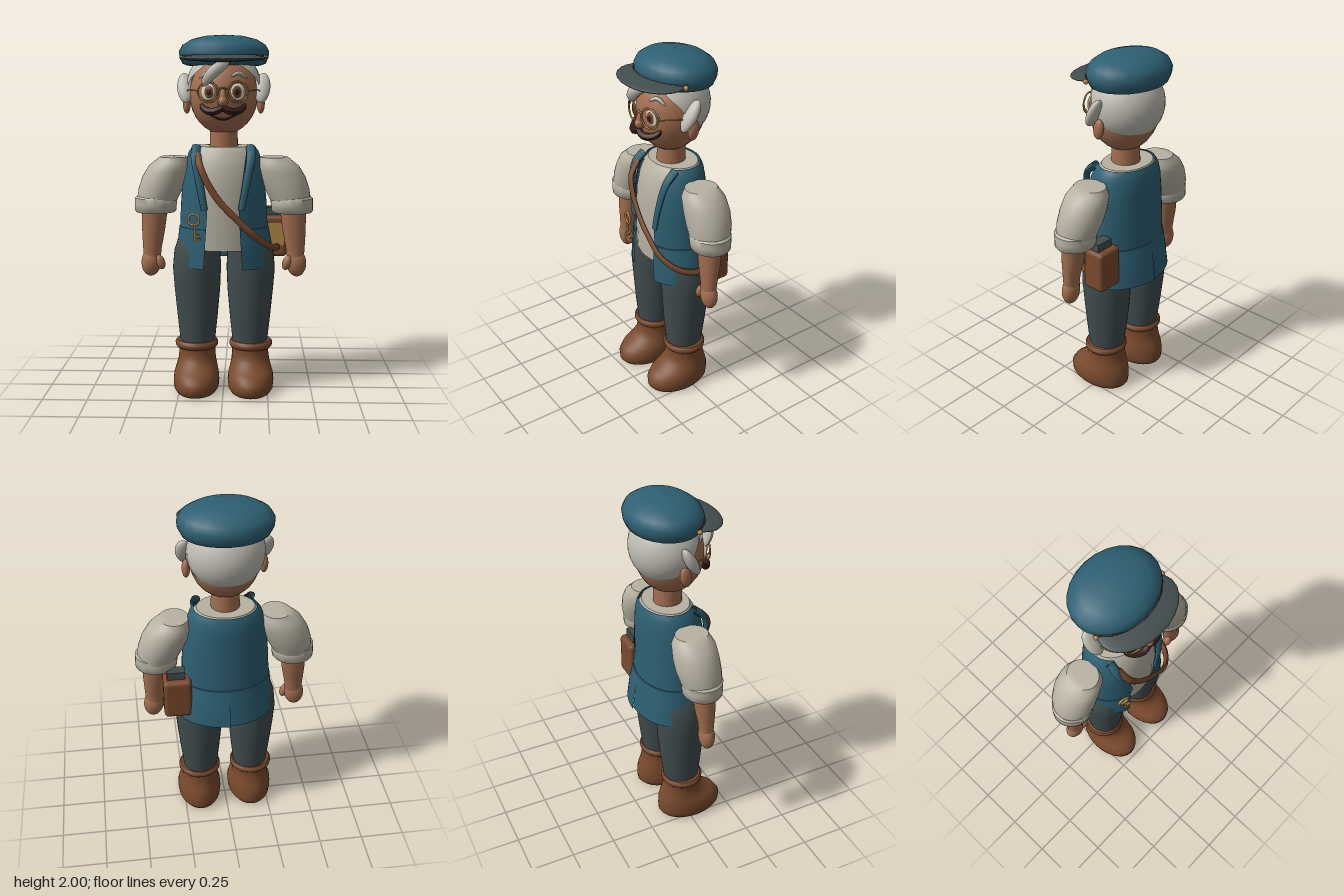
import * as THREE from 'three';
import { toCreasedNormals } from 'three/addons/utils/BufferGeometryUtils.js';
import { ParametricGeometry } from 'three/addons/geometries/ParametricGeometry.js';
import { RoundedBoxGeometry } from 'three/addons/geometries/RoundedBoxGeometry.js';

const mat = (name, color) => new THREE.MeshStandardMaterial({ name, color, side: THREE.DoubleSide });

// interpolate rows [y, rx, rz, cx, cz] at v = 0..1
function ringAt(rings, v) {
  const f = v * (rings.length - 1), i = Math.min(Math.floor(f), rings.length - 2), t = f - i;
  return rings[i].map((a, k) => a + (rings[i + 1][k] - a) * t);
}

// stack of ellipses; open(y) leaves a gap of that half width at the front
function loft(rings, { open = null, from = 0, to = 1, steps = 2, crease = 0.75, seg = 28 } = {}) {
  const geo = new ParametricGeometry((u, v, p) => {
    const [y, rx, rz, cx = 0, cz = 0] = ringAt(rings, v);
    const a0 = open ? Math.asin(open(y) / rx) : 0;
    const a = a0 + (from + (to - from) * u) * (Math.PI * 2 - 2 * a0);
    p.set(cx + rx * Math.sin(a), y, cz + rz * Math.cos(a));
  }, seg, (rings.length - 1) * steps);
  return toCreasedNormals(geo, crease);
}

// tube whose radius follows a rule along its length; flat squeezes it in depth
function taper(points, radius, flat = 1, n = 20) {
  const curve = new THREE.CatmullRomCurve3(points.map(p => new THREE.Vector3(...p)));
  const geo = new THREE.TubeGeometry(curve, n, 1, 8), pos = geo.attributes.position;
  const v = new THREE.Vector3();
  for (let i = 0; i < pos.count; i++) {
    const t = Math.floor(i / 9) / n, c = curve.getPointAt(t);
    v.fromBufferAttribute(pos, i).sub(c).multiplyScalar(radius(t));
    v.z *= flat;
    v.add(c);
    pos.setXYZ(i, v.x, v.y, v.z);
  }
  geo.computeVertexNormals();
  return geo;
}
const lens = r => t => Math.max(0.001, r * Math.sqrt(Math.sin(Math.PI * Math.min(t, 1))));

// depth of the face surface
const faceZ = (x, y) => -0.015 + 0.185 * Math.sqrt(Math.max(0, 1 - (x / 0.19) ** 2 - ((y - 1.675) / 0.22) ** 2));

export function createModel() {
  const root = new THREE.Group();
  root.name = 'workman';
  const teal = mat('teal cloth', 0x2d6073), skin = mat('skin', 0xa36e50), linen = mat('linen', 0xb8b2a3);
  const silver = mat('silver hair', 0xc0bdb3), slate = mat('slate cloth', 0x414d4e), leather = mat('leather', 0x7a4a2d);
  const dark = mat('dark brown', 0x371c1b), brass = mat('brass', 0xb08645), white = mat('eye white', 0xe2d8c8);

  const add = (name, geo, m, pos = [0, 0, 0], rot = [0, 0, 0]) => {
    const mesh = new THREE.Mesh(geo, m);
    mesh.name = name;
    mesh.position.set(...pos);
    mesh.rotation.set(...rot);
    root.add(mesh);
    return mesh;
  };
  const ball = (name, m, pos, size, rot) => {
    const mesh = add(name, new THREE.SphereGeometry(1, 24, 16), m, pos, rot);
    mesh.scale.set(...size);
    return mesh;
  };

  // head, neck and face
  ball('head', skin, [0, 1.675, -0.015], [0.19, 0.22, 0.185]);
  add('neck', new THREE.CylinderGeometry(0.076, 0.08, 0.14, 24), skin, [0, 1.42, -0.025]);
  ball('nose', skin, [0, 1.64, 0.17], [0.027, 0.03, 0.034]);
  add('noseBridge', taper([[0, 1.72, 0.155], [0, 1.68, 0.172], [0, 1.64, 0.18]], t => 0.01 + 0.012 * t), skin);
  add('smile', taper([[-0.07, 1.565, 0.137], [0, 1.543, 0.147], [0.07, 1.565, 0.137]], lens(0.006)), dark);

  // hair: a cap with a hairline rising towards the front
  const hairline = a => {
    const d = Math.abs(a) * 180 / Math.PI;
    const rows = [[0, 1.85], [35, 1.83], [62, 1.76], [80, 1.68], [108, 1.58], [125, 1.55], [181, 1.55]];
    const i = rows.findIndex(r => r[0] > d), [d0, y0] = rows[i - 1], [d1, y1] = rows[i];
    return y0 + (y1 - y0) * (d - d0) / (d1 - d0);
  };
  add('hair', new ParametricGeometry((u, v, p) => {
    const a = (u * 2 - 1) * Math.PI, end = Math.acos((hairline(a) - 1.72) / 0.2);
    const t = end + (0.01 - end) * v, s = Math.sin(t);
    p.set(0.207 * s * Math.sin(a), 1.72 + 0.2 * Math.cos(t), -0.035 + 0.195 * s * Math.cos(a));
  }, 48, 14), silver);
  add('forelock', taper([[0.03, 1.85, 0.12], [-0.02, 1.82, 0.168], [-0.065, 1.78, 0.172], [-0.11, 1.72, 0.14]], lens(0.034)), silver);

  // left and right face details
  for (const s of [1, -1]) {
    ball('ear', skin, [s * 0.205, 1.625, -0.02], [0.022, 0.056, 0.032], [-0.15, 0, 0]);
    ball('sideTuft', silver, [s * 0.212, 1.71, 0.005], [0.044, 0.092, 0.03], [-0.5, 0, s * -0.1]);
    const ez = faceZ(0.08, 1.69), tilt = [0, s * 0.35, 0];
    ball('eye', white, [s * 0.08, 1.69, ez - 0.004], [0.042, 0.046, 0.014], tilt);
    ball('iris', leather, [s * 0.077, 1.69, ez + 0.006], [0.027, 0.033, 0.008], tilt);
    ball('pupil', dark, [s * 0.076, 1.69, ez + 0.012], [0.014, 0.019, 0.005], tilt);
    add('glassesRim', new THREE.TorusGeometry(0.055, 0.005, 8, 28), brass, [s * 0.08, 1.69, ez + 0.015], [0, s * 0.25, 0]);
    add('glassesArm', taper([[s * 0.133, 1.695, 0.152], [s * 0.185, 1.7, 0.09], [s * 0.203, 1.69, 0]], () => 0.004), brass);
    add('eyebrow', taper([[0.045, 1.772], [0.085, 1.79], [0.13, 1.762]].map(([x, y]) => [s * x, y, faceZ(x, y) + 0.003]), lens(0.011)), silver);
    add('moustache', taper([[0, 1.605, 0.183], [s * 0.04, 1.588, 0.183], [s * 0.08, 1.588, 0.162], [s * 0.107, 1.605, 0.137], [s * 0.118, 1.628, 0.122]],
      t => 0.001 + 0.027 * Math.sqrt(1 - t) * (0.55 + 0.9 * t)), dark);
    ball('capButton', brass, [s * 0.225, 1.872, 0.045], [0.014, 0.014, 0.014]);
  }
  add('glassesBridge', taper([[-0.028, 1.7, 0.176], [0, 1.712, 0.186], [0.028, 1.7, 0.176]], () => 0.005), brass);

  // cap
  const capRings = [[1.832, 0.001, 0.001], [1.832, 0.2, 0.16], [1.842, 0.23, 0.183], [1.875, 0.246, 0.197], [1.91, 0.25, 0.2],
    [1.945, 0.23, 0.184], [1.975, 0.18, 0.143], [1.993, 0.105, 0.083], [2, 0.001, 0.001]];
  add('cap', loft(capRings.map(r => [...r, 0, -0.05]), { steps: 1, crease: 1, seg: 24 }), teal);
  ball('capVisor', slate, [0, 1.87, 0.1], [0.237, 0.021, 0.15], [0.06, 0, 0]);
  const band = [-1.15, -0.6, 0, 0.6, 1.15].map(a => [0.247 * Math.sin(a), 1.878, -0.05 + 0.203 * Math.cos(a)]);
  add('capStrap', taper(band, () => 0.009), dark);

  // shirt and waistcoat
  const body = [[0.94, 0.247, 0.183, 0, -0.02], [1.07, 0.241, 0.182, 0, -0.018], [1.2, 0.23, 0.18, 0, -0.018],
    [1.3, 0.214, 0.17, 0, -0.025], [1.36, 0.195, 0.153, 0, -0.033], [1.39, 0.172, 0.137, 0, -0.037]];
  const inner = body.map(([y, rx, rz, cx, cz]) => [y, rx - 0.014, rz - 0.014, cx, cz]);
  add('shirt', loft([[0.82, 0.001, 0.001, 0, -0.02], [0.82, 0.225, 0.166, 0, -0.02], ...inner, [1.388, 0.001, 0.001, 0, -0.037]]), linen);
  const opening = y => y > 1.05 ? 0.085 + (y - 1.05) * 0.13 : 0.085 + (1.05 - y) * 0.066;
  add('waistcoat', loft(body, { open: opening, seg: 40 }), teal);
  // coat tails in two halves, one lapping over the other at the back
  for (const [s, lap] of [[1, 0.009], [-1, 0]]) {
    const tail = [[0.72, 0.274 + lap, 0.206 + lap, 0, -0.032], [0.83, 0.263 + lap, 0.198 + lap, 0, -0.026], [0.94, 0.251, 0.189, 0, -0.02], [0.942, 0.24, 0.178, 0, -0.02]];
    add('coatTail', loft(tail, { open: opening, from: s > 0 ? 0 : 0.49, to: s > 0 ? 0.5 : 1, seg: 24 }), teal);
    add('lapel', taper([[s * 0.15, 1.388, 0.055], [s * 0.152, 1.33, 0.115], [s * 0.128, 1.2, 0.145], [s * 0.1, 1.05, 0.156]],
      t => 0.026 - 0.008 * t, 0.55), teal);
  }

  // arms, legs and boots
  for (const s of [1, -1]) {
    const side = rows => rows.map(([y, rx, rz, cx, cz]) => [y, rx, rz, s * cx, cz]);
    add('sleeve', loft(side([[1.08, 0.112, 0.108, 0.378, -0.01], [1.15, 0.125, 0.12, 0.355, -0.016], [1.22, 0.129, 0.122, 0.328, -0.02],
      [1.28, 0.119, 0.116, 0.301, -0.02], [1.33, 0.08, 0.09, 0.278, -0.02], [1.331, 0.001, 0.001, 0.278, -0.02]])), linen);
    add('sleeveCuff', loft(side([[1.02, 0.001, 0.001, 0.385, -0.008], [1.02, 0.108, 0.1, 0.385, -0.008], [1.03, 0.116, 0.107, 0.384, -0.008],
      [1.1, 0.119, 0.11, 0.38, -0.008], [1.11, 0.11, 0.102, 0.378, -0.008], [1.11, 0.001, 0.001, 0.378, -0.008]])), linen);
    add('forearm', loft(side([[0.74, 0.046, 0.036, 0.405, 0.012], [0.82, 0.053, 0.042, 0.403, 0.01],
      [0.92, 0.065, 0.055, 0.396, 0.004], [1.04, 0.073, 0.063, 0.388, 0]])), skin);
    ball('hand', skin, [s * 0.41, 0.735, 0.012], [0.056, 0.08, 0.043], [0, 0, s * 0.08]);
    ball('thumb', skin, [s * 0.357, 0.738, 0.03], [0.026, 0.044, 0.024], [0, 0, s * -0.35]);

    add('trouserLeg', loft(side([[0.26, 0.098, 0.102, 0.15, -0.012], [0.42, 0.115, 0.12, 0.15, -0.015], [0.58, 0.13, 0.133, 0.151, -0.018],
      [0.7, 0.137, 0.14, 0.153, -0.018], [0.8, 0.131, 0.138, 0.15, -0.018], [0.88, 0.12, 0.128, 0.135, -0.018], [0.93, 0.09, 0.1, 0.13, -0.018]])), slate);
    add('boot', loft(side([[0, 0.001, 0.001, 0.155, 0.035], [0, 0.115, 0.175, 0.155, 0.037], [0.02, 0.127, 0.192, 0.155, 0.038], [0.06, 0.131, 0.195, 0.155, 0.038],
      [0.1, 0.127, 0.18, 0.155, 0.026], [0.135, 0.117, 0.146, 0.154, 0.002], [0.17, 0.108, 0.12, 0.153, -0.011],
      [0.21, 0.104, 0.109, 0.152, -0.014], [0.26, 0.106, 0.108, 0.152, -0.012]])), leather);
    add('bootCuff', loft(side([[0.238, 0.095, 0.095, 0.155, -0.011], [0.24, 0.112, 0.108, 0.155, -0.011], [0.252, 0.122, 0.118, 0.155, -0.011],
      [0.27, 0.123, 0.119, 0.155, -0.011], [0.283, 0.113, 0.109, 0.155, -0.011], [0.283, 0.09, 0.09, 0.155, -0.011]])), leather);
  }

  // satchel with notebook, letter and strap
  add('satchel', new RoundedBoxGeometry(0.155, 0.235, 0.13, 3, 0.022), leather, [0.28, 0.875, -0.102]);
  add('notebook', new THREE.BoxGeometry(0.1, 0.12, 0.06), slate, [0.285, 0.978, -0.1]);
  add('letter', new THREE.BoxGeometry(0.12, 0.13, 0.008), brass, [0.283, 0.888, -0.034]);
  add('satchelStrap', taper([[-0.14, 1.355, 0.1], [-0.12, 1.28, 0.158], [-0.04, 1.13, 0.18], [0.08, 1.0, 0.183], [0.18, 0.905, 0.165],
    [0.265, 0.84, 0.09], [0.3, 0.82, 0.0], [0.3, 0.82, -0.05]], () => 0.019, 0.65, 40), leather);

  // key on the waistcoat
  const kx = -0.16, kz = 0.172;
  add('keyRing', new THREE.TorusGeometry(0.031, 0.007, 8, 24), brass, [kx, 1.0, kz - 0.01], [0, -0.2, 0]);
  add('keyStem', new THREE.CylinderGeometry(0.007, 0.007, 0.09, 10), brass, [kx + 0.008, 0.928, kz]);
  for (const [y, w] of [[0.89, 0.034], [0.912, 0.024]])
    add('keyBit', new THREE.BoxGeometry(w, 0.012, 0.012), brass, [kx + 0.008 + w / 2, y, kz]);
  return root;
}
